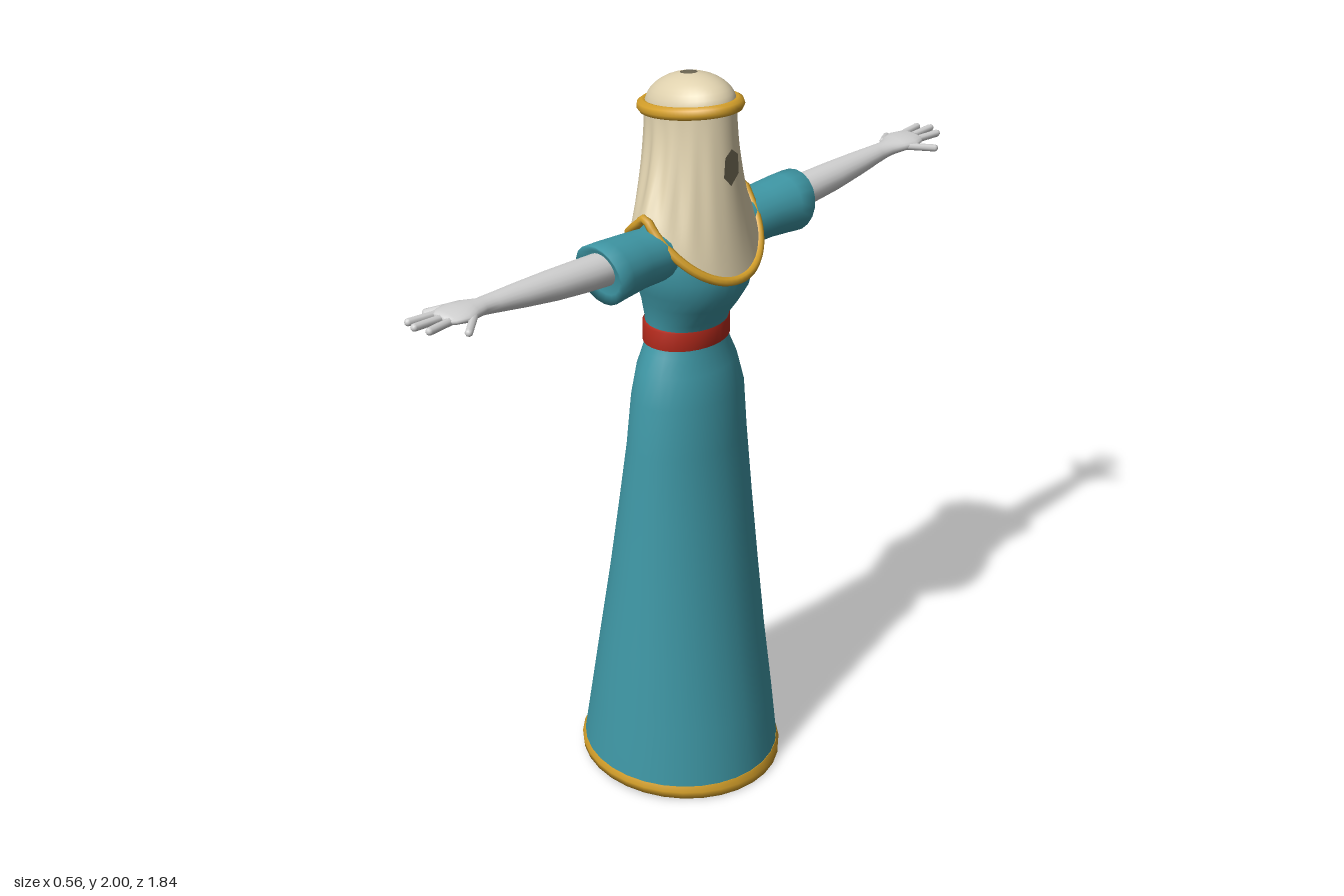
import * as THREE from 'three';

const mat = (name, color) => {
  const m = new THREE.MeshStandardMaterial({ color, side: THREE.DoubleSide });
  m.name = name;
  return m;
};
const V = (x, y, z) => new THREE.Vector3(x, y, z);

// Smooth skin over closed rings of points; capEnd closes the last ring
function loft(rings, capEnd = false) {
  const n = rings[0].length, pos = [], idx = [];
  rings.forEach(r => r.forEach(p => pos.push(p.x, p.y, p.z)));
  for (let i = 0; i < rings.length - 1; i++) {
    for (let j = 0; j < n; j++) {
      const k = (j + 1) % n, a = i * n + j, b = i * n + k;
      idx.push(a, a + n, b, b, a + n, b + n);
    }
  }
  if (capEnd) {
    const last = rings[rings.length - 1], base = (rings.length - 1) * n;
    const c = last.reduce((s, p) => s.add(p), V(0, 0, 0)).divideScalar(n);
    pos.push(c.x, c.y, c.z);
    for (let j = 0; j < n; j++) idx.push(base + j, rings.length * n, base + (j + 1) % n);
  }
  const g = new THREE.BufferGeometry();
  g.setAttribute('position', new THREE.Float32BufferAttribute(pos, 3));
  g.setIndex(idx);
  g.computeVertexNormals();
  return g;
}

// Ring of n points from a function of the angle (angle 0 points to +x)
const ring = (n, f) => Array.from({ length: n }, (_, i) => f(i / n * Math.PI * 2));

// Level body section: height, x range, half depth, optional tilt along x
const section = ([y, x0, x1, rz, tilt = 0]) => ring(32, a =>
  V((x0 + x1) / 2 + (x1 - x0) / 2 * Math.cos(a), y - tilt * Math.cos(a), rz * Math.sin(a)));

const closedTube = (points, r) =>
  new THREE.TubeGeometry(new THREE.CatmullRomCurve3(points, true), 72, r, 8, true);

export function createModel() {
  const model = new THREE.Group();
  const teal = mat('teal cloth', 0x3f98a6), gold = mat('gold trim', 0xd5a02a);
  const red = mat('red belt', 0xb52a1c), cream = mat('cream veil', 0xdfd1ae);
  const skin = mat('pale skin', 0xd2d2d2), dark = mat('veil shade', 0x6e6753);
  const add = (name, geo, m, parent = model) => {
    const mesh = new THREE.Mesh(geo, m);
    mesh.name = name;
    parent.add(mesh);
    return mesh;
  };

  // Long flared skirt, open below
  add('skirt', loft([
    [0.045, -0.273, 0.272, 0.268, 0.008], [0.2, -0.245, 0.25, 0.255], [0.4, -0.21, 0.222, 0.235],
    [0.6, -0.175, 0.2, 0.215], [0.8, -0.143, 0.178, 0.197], [1.0, -0.112, 0.157, 0.18],
    [1.14, -0.1, 0.15, 0.168], [1.22, -0.088, 0.13, 0.15], [1.27, -0.076, 0.115, 0.128],
    [1.31, -0.072, 0.11, 0.115],
  ].map(section)), teal);
  // Gold hem with a turned-in underside
  add('skirtHem', loft([
    [0.045, -0.274, 0.273, 0.269, 0.008], [0.03, -0.283, 0.281, 0.274, 0.009],
    [0.012, -0.283, 0.281, 0.272, 0.011], [0.014, -0.215, 0.215, 0.205, 0.009],
  ].map(section)), gold);

  // Belt
  add('belt', loft([
    [1.288, -0.074, 0.112, 0.118], [1.292, -0.081, 0.12, 0.125],
    [1.342, -0.081, 0.12, 0.125], [1.346, -0.074, 0.112, 0.116],
  ].map(section)), red);

  // Bodice
  add('bodice', loft([
    [1.32, -0.075, 0.112, 0.115], [1.36, -0.08, 0.125, 0.118], [1.41, -0.092, 0.162, 0.13],
    [1.45, -0.1, 0.185, 0.146], [1.5, -0.1, 0.194, 0.162], [1.56, -0.095, 0.186, 0.166],
    [1.62, -0.08, 0.16, 0.16], [1.655, -0.03, 0.125, 0.135], [1.668, 0, 0.1, 0.08],
  ].map(section), true), teal);

  // Veil: crown line and scalloped hem line
  const crown = a => V(0.032 + 0.132 * Math.cos(a), 1.918 + 0.02 * Math.cos(a), 0.094 * Math.sin(a));
  const hem = a => {
    const c = Math.cos(a);
    return V(0.048 + 0.157 * c, 1.668 - (c > 0 ? 0.166 : 0.12) * Math.abs(c), 0.173 * Math.sin(a));
  };
  const veilRings = [];
  for (let i = 0; i <= 20; i++) {
    const t = i / 20, w = Math.pow(t, 1.8);
    veilRings.push(ring(96, a => {
      const p = crown(a), q = hem(a);
      const side = Math.sin(a) ** 2 * Math.sin(Math.PI * t);
      const fold = 1 + 0.035 * side * Math.sin(15 * a + 2 * t);
      const cx = 0.04;
      return V(cx + (p.x + (q.x - p.x) * w - cx) * fold, p.y + (q.y - p.y) * t,
        (p.z + (q.z - p.z) * w) * fold);
    }));
  }
  add('veil', loft(veilRings), cream);
  add('veilHem', closedTube(ring(32, hem), 0.012), gold);

  // Small shaded gap at the face
  const gap = new THREE.Shape([[0, -0.048], [0.026, -0.02], [0.022, 0.03], [0, 0.048], [-0.022, 0.03], [-0.026, -0.02]]
    .map(([x, y]) => new THREE.Vector2(x, y)));
  const face = add('faceGap', new THREE.ShapeGeometry(gap), dark);
  face.position.set(0.174, 1.79, 0);
  face.rotation.y = Math.PI / 2;

  // Domed cap with a small opening on top
  const domeRings = [];
  for (let i = 0; i <= 8; i++) {
    const s = i / 8 * 1.38, r = Math.cos(s);
    domeRings.push(ring(40, a => V(0.025 + 0.007 * r + 0.13 * r * Math.cos(a),
      1.922 + 0.079 * Math.sin(s) + 0.018 * r * Math.cos(a), 0.095 * r * Math.sin(a))));
  }
  add('cap', loft(domeRings), cream);
  const hole = add('capOpening', new THREE.CircleGeometry(0.02, 20), dark);
  hole.rotation.x = -Math.PI / 2;
  hole.position.set(0.026, 1.9965, 0);
  add('headband', closedTube(ring(32, a =>
    V(0.032 + 0.134 * Math.cos(a), 1.92 + 0.02 * Math.cos(a), 0.097 * Math.sin(a))), 0.017), gold);

  // Arms, mirrored along z; section: z, centre x, centre y, half width, half height, slant
  for (const s of [1, -1]) {
    const arm = new THREE.Group();
    arm.name = s > 0 ? 'armFront' : 'armBack';
    model.add(arm);
    const cross = ([z, x, y, rx, ry, slant = 0]) => ring(20, a =>
      V(x + rx * Math.cos(a), y + ry * Math.sin(a), s * (z + slant * Math.sin(a))));
    add('sleeve', loft([
      [0.1, 0.05, 1.575, 0.075, 0.075], [0.17, 0.055, 1.572, 0.075, 0.07],
      [0.23, 0.06, 1.577, 0.076, 0.072, 0.004], [0.3, 0.062, 1.577, 0.08, 0.077, 0.01],
      [0.345, 0.064, 1.576, 0.081, 0.08, 0.015], [0.335, 0.064, 1.58, 0.06, 0.06, 0.012],
    ].map(cross), true), teal, arm);
    add('forearm', loft([
      [0.3, 0.064, 1.588, 0.047, 0.044], [0.4, 0.064, 1.593, 0.045, 0.042],
      [0.5, 0.064, 1.599, 0.042, 0.038], [0.6, 0.063, 1.606, 0.035, 0.031],
      [0.68, 0.062, 1.612, 0.028, 0.024], [0.72, 0.062, 1.615, 0.027, 0.02],
      [0.755, 0.062, 1.62, 0.042, 0.019], [0.79, 0.063, 1.622, 0.053, 0.017],
      [0.825, 0.061, 1.622, 0.043, 0.014], [0.838, 0.06, 1.622, 0.03, 0.009],
    ].map(cross), true), skin, arm);
    // Fingers: base x, z then tip x, y, z and radius
    for (const [x0, z0, x1, y1, z1, r] of [
      [0.03, 0.75, -0.016, 1.605, 0.817, 0.011], [0.033, 0.8, 0.022, 1.622, 0.9, 0.01],
      [0.057, 0.81, 0.059, 1.625, 0.912, 0.01], [0.08, 0.8, 0.094, 1.622, 0.897, 0.01],
      [0.095, 0.765, 0.146, 1.612, 0.826, 0.01],
    ]) {
      const p = V(x0, 1.62, s * z0), q = V(x1, y1, s * z1), d = q.clone().sub(p);
      const f = add('finger', new THREE.CapsuleGeometry(r, d.length(), 4, 8), skin, arm);
      f.position.copy(p).add(q).multiplyScalar(0.5);
      f.quaternion.setFromUnitVectors(V(0, 1, 0), d.normalize());
    }
  }
  return model;
}
